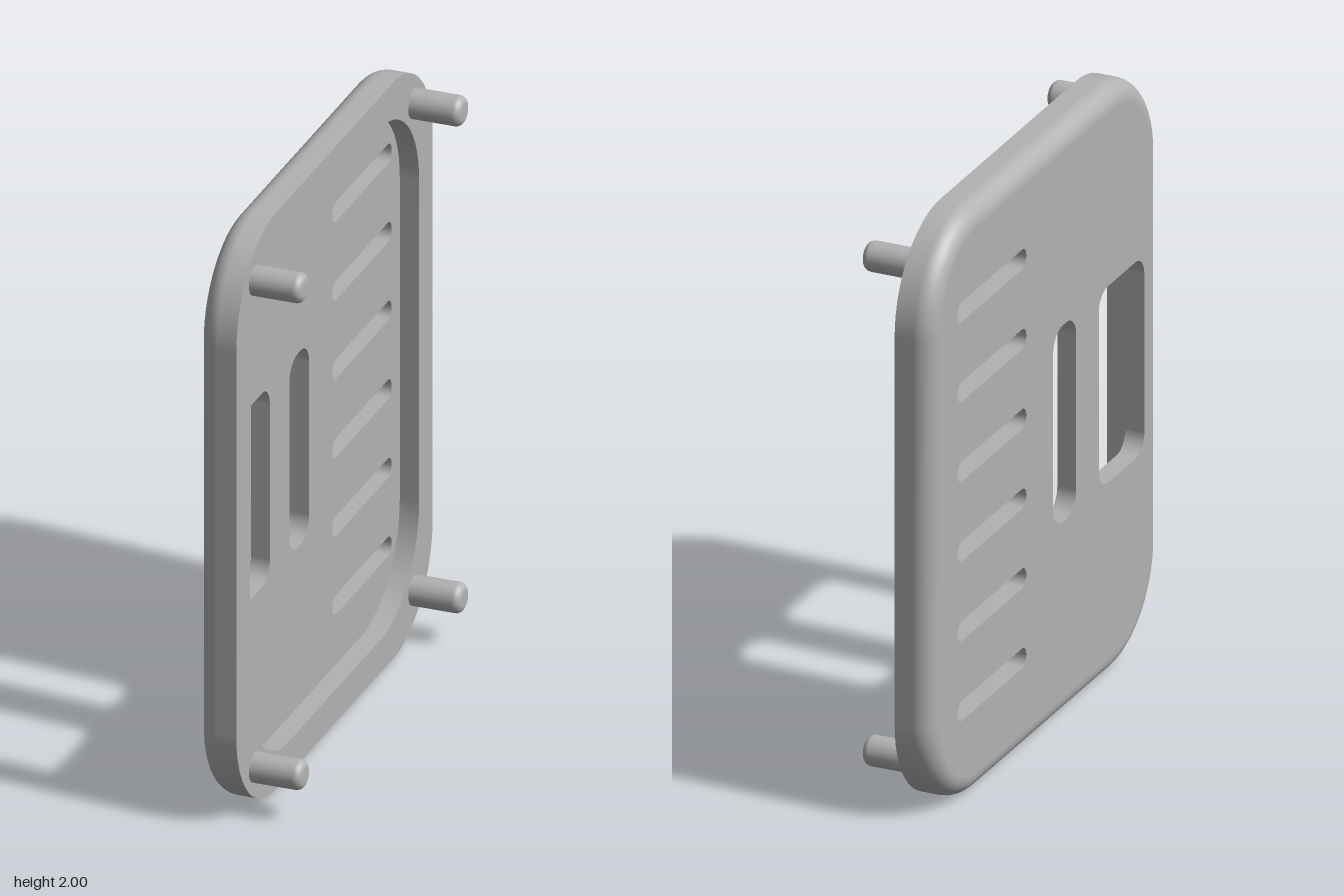
import * as THREE from 'three';

const SEG = 14;

// Counter-clockwise rounded rectangle as a list of points (u = -z, v = y)
function outline(cu, cv, w, h, r) {
  const pts = [];
  const corners = [[1, -1], [1, 1], [-1, 1], [-1, -1]];
  corners.forEach(([su, sv], c) => {
    for (let i = 0; i <= SEG; i++) {
      const a = (c - 1 + i / SEG) * Math.PI / 2;
      pts.push(new THREE.Vector2(
        cu + su * (w / 2 - r) + r * Math.cos(a),
        cv + sv * (h / 2 - r) + r * Math.sin(a)));
    }
  });
  return pts;
}

// Wall running through rings of [outline, depth]; inward = true for holes
function wall(rings, inward = false) {
  const pos = [], idx = [], n = rings[0][0].length;
  rings.forEach(([pts, d]) => pts.forEach(p => pos.push(p.x, p.y, d)));
  for (let i = 0; i < rings.length - 1; i++) {
    for (let k = 0; k < n; k++) {
      const a = i * n + k, b = i * n + (k + 1) % n, c = a + n, e = b + n;
      if (inward) idx.push(a, c, b, b, c, e);
      else idx.push(a, b, c, b, e, c);
    }
  }
  const g = new THREE.BufferGeometry();
  g.setAttribute('position', new THREE.Float32BufferAttribute(pos, 3));
  g.setIndex(idx);
  g.computeVertexNormals();
  return g;
}

// Flat face with holes at a given depth
function face(pts, holes, depth, facingBack = false) {
  const shape = new THREE.Shape(pts);
  holes.forEach(h => shape.holes.push(new THREE.Path(h)));
  const g = new THREE.ShapeGeometry(shape).translate(0, 0, depth);
  if (facingBack) {
    g.setIndex(Array.from(g.index.array).reverse());
    g.computeVertexNormals();
  }
  return g;
}

export function createModel() {
  const model = new THREE.Group();
  model.name = 'ventedCover';
  const grey = new THREE.MeshStandardMaterial({ color: 0xb2b2b2 });
  grey.name = 'grey';

  const panel = new THREE.Group();
  panel.name = 'panel';
  panel.rotation.y = Math.PI / 2; // local depth becomes +x
  model.add(panel);
  const add = (name, geometry) => {
    const mesh = new THREE.Mesh(geometry, grey);
    mesh.name = name;
    panel.add(mesh);
    return mesh;
  };

  const BACK = -0.15, FLOOR = -0.085, RIM = -0.02, FILLET = 0.065;
  const outer = inset => outline(0, 1, 1.67 - 2 * inset, 2 - 2 * inset, 0.335 - inset);
  const recess = outline(0, 1.002, 1.44, 1.775, 0.33);

  // Openings: wide window, narrow window and six vent slots
  const openings = [
    ['wideWindow', outline(-0.552, 1.004, 0.334, 0.672, 0.065)],
    ['narrowWindow', outline(-0.135, 1.004, 0.168, 0.672, 0.07)],
  ];
  for (let i = 0; i < 6; i++) {
    openings.push(['ventSlot', outline(0.398, 0.322 + i * 0.2728, 0.504, 0.068, 0.032)]);
  }
  const holes = openings.map(o => o[1]);

  // Outer edge with a rounded back
  const rings = [];
  for (let i = 0; i <= 10; i++) {
    const a = i / 10 * Math.PI / 2;
    rings.push([outer(FILLET * (1 - Math.sin(a))), BACK + FILLET * (1 - Math.cos(a))]);
  }
  rings.push([outer(0), RIM]);
  add('outerEdge', wall(rings));

  // Flat faces and recess
  add('backFace', face(outer(FILLET), holes, BACK, true));
  add('recessFloor', face(recess, holes, FLOOR));
  add('rim', face(outer(0), [recess], RIM));
  add('recessWall', wall([[recess, FLOOR], [recess, RIM]], true));
  openings.forEach(([name, pts]) => add(name, wall([[pts, BACK], [pts, FLOOR]], true)));

  // Pegs with rounded tips
  const profile = [new THREE.Vector2(0.05, 0)];
  for (let i = 0; i <= 6; i++) {
    const a = i / 6 * Math.PI / 2;
    profile.push(new THREE.Vector2(0.025 + 0.025 * Math.cos(a), 0.145 + 0.025 * Math.sin(a)));
  }
  profile.push(new THREE.Vector2(0, 0.17));
  const pegGeometry = new THREE.LatheGeometry(profile, 32).rotateX(Math.PI / 2);
  for (const u of [-0.677, 0.677]) {
    for (const y of [0.158, 1.848]) {
      add('peg', pegGeometry).position.set(u, y, RIM);
    }
  }
  return model;
}
